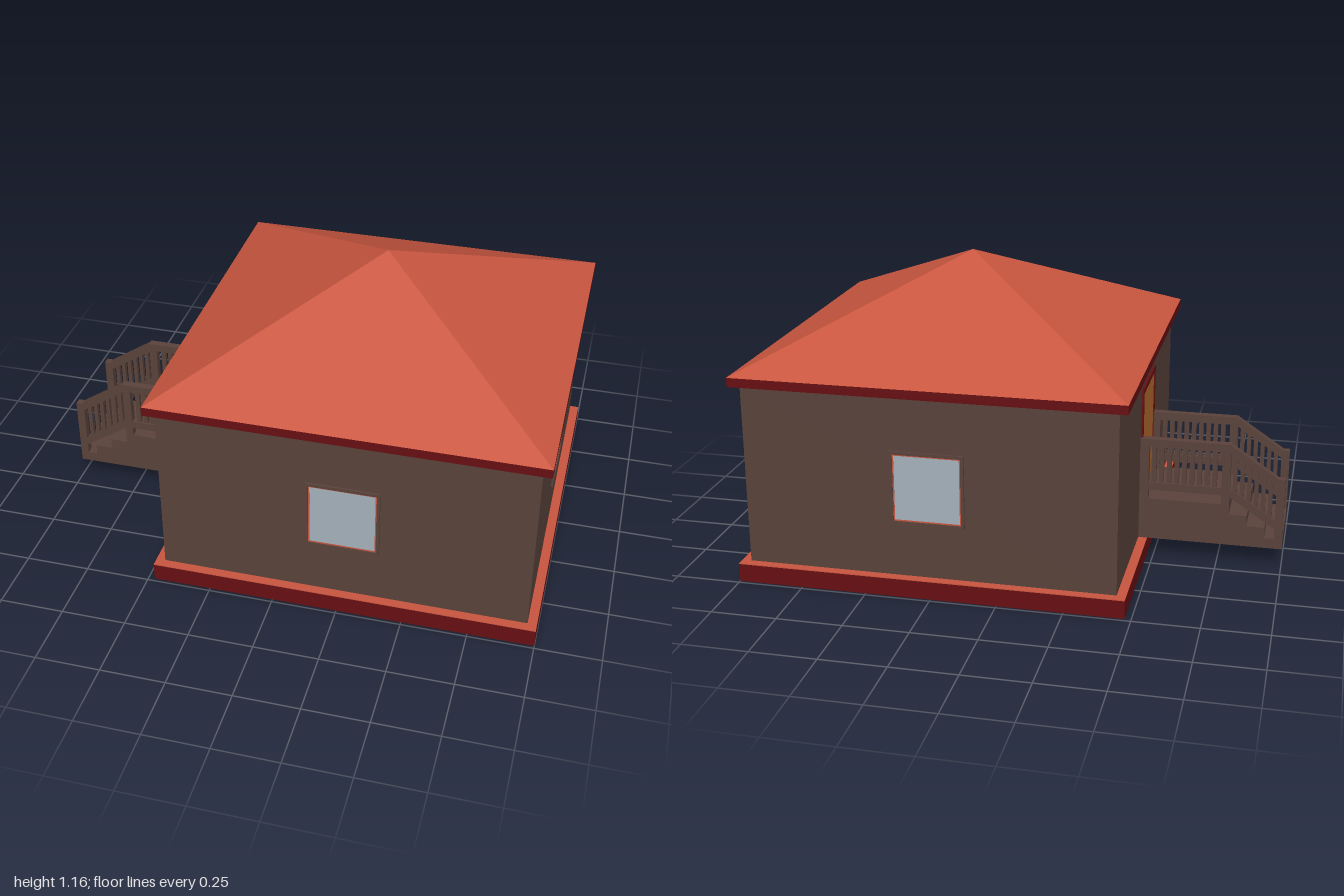
import * as THREE from 'three';

const mat = (name, color, extra = {}) => Object.assign(new THREE.MeshStandardMaterial({ color, ...extra }), { name });

export function createModel() {
  const brown = mat('brown wood', 0x5a433b);
  const roofRed = mat('roof red', 0xc9563f, { side: THREE.DoubleSide, flatShading: true });
  const darkRed = mat('dark red trim', 0x680f12);
  const glass = mat('window glass', 0xa6b3bc);
  const doorMat = mat('door orange', 0xb56c2e);

  const CX = 0.2625, EAVE = 0.7375, WALL = 0.7025, THICK = 0.03;
  const model = new THREE.Group();
  model.name = 'house';

  const add = (parent, name, geometry, material) => {
    const mesh = new THREE.Mesh(geometry, material);
    mesh.name = name;
    parent.add(mesh);
    return mesh;
  };
  // Box given by its minimum and maximum corners
  const box = (parent, name, x0, x1, y0, y1, z0, z1, material) => {
    const mesh = add(parent, name, new THREE.BoxGeometry(x1 - x0, y1 - y0, z1 - z0), material);
    mesh.position.set((x0 + x1) / 2, (y0 + y1) / 2, (z0 + z1) / 2);
    return mesh;
  };
  const rect = (P, w, h) => new P([[-w, -h], [w, -h], [w, h], [-w, h]].map(([x, y]) => new THREE.Vector2(x, y)));
  // Square ring lying flat, open in the middle
  const ring = (parent, name, outer, inner, y0, y1, material) => {
    const shape = rect(THREE.Shape, outer, outer);
    shape.holes.push(rect(THREE.Path, inner, inner));
    const geo = new THREE.ExtrudeGeometry(shape, { depth: y1 - y0, bevelEnabled: false });
    geo.rotateX(-Math.PI / 2);
    add(parent, name, geo, material).position.y = y0;
  };

  // Hollow shell: base, walls, eave and roof
  const shell = new THREE.Group();
  shell.name = 'houseShell';
  shell.position.x = CX;
  model.add(shell);
  ring(shell, 'base', EAVE, WALL - THICK, 0, 0.07, darkRed);
  ring(shell, 'baseLedge', EAVE, WALL, 0.07, 0.073, roofRed);
  ring(shell, 'walls', WALL, WALL - THICK, 0.07, 0.775, brown);
  ring(shell, 'eave', EAVE, WALL - THICK, 0.775, 0.81, darkRed);
  const roofGeo = new THREE.ConeGeometry(EAVE * Math.SQRT2, 0.35, 4, 1, true);
  roofGeo.rotateY(Math.PI / 4);
  add(shell, 'roof', roofGeo, roofRed).position.y = 0.985;

  // Rectangular frame standing in the local xy plane
  const frame = (parent, name, w, h, border, z0, z1, material) => {
    const shape = rect(THREE.Shape, w, h);
    shape.holes.push(rect(THREE.Path, w - border, h - border));
    const geo = new THREE.ExtrudeGeometry(shape, { depth: z1 - z0, bevelEnabled: false });
    add(parent, name, geo, material).position.z = z0;
  };

  // Windows on the front, right and back, visible inside and out
  [0, Math.PI / 2, Math.PI].forEach((angle) => {
    const side = new THREE.Group();
    side.name = 'window';
    side.rotation.y = angle;
    shell.add(side);
    for (const [z, s] of [[WALL, 1], [WALL - THICK, -1]]) {
      const face = new THREE.Group();
      face.name = s > 0 ? 'windowOutside' : 'windowInside';
      face.position.set(0, 0.422, z);
      if (s < 0) face.rotation.y = Math.PI;
      side.add(face);
      frame(face, 'windowFrame', 0.14, 0.142, 0.012, 0, 0.008, brown);
      frame(face, 'windowEdge', 0.128, 0.13, 0.005, 0, 0.004, roofRed);
      box(face, 'windowPane', -0.123, 0.123, -0.125, 0.125, 0, 0.003, glass);
    }
  });

  // Door with its frame, through the wall above the landing
  const wx = CX - WALL;
  const door = new THREE.Group();
  door.name = 'door';
  model.add(door);
  const dx0 = wx - 0.004, dx1 = wx + THICK + 0.004;
  box(door, 'doorPanel', dx0, dx1, 0.073, 0.66, -0.145, 0.145, doorMat);
  for (const s of [-1, 1]) {
    box(door, 'doorJamb', dx0 - 0.004, dx1 + 0.004, 0.073, 0.66, s * 0.155 - 0.01, s * 0.155 + 0.01, darkRed);
  }
  box(door, 'doorLintel', dx0 - 0.004, dx1 + 0.004, 0.66, 0.68, -0.165, 0.165, darkRed);

  // Stepped landing, solid underneath
  const porch = new THREE.Group();
  porch.name = 'porch';
  model.add(porch);
  const profile = [[-1, 0.073], [wx, 0.073], [wx, 0.24], [-0.79, 0.24], [-0.79, 0.2], [-0.86, 0.2],
    [-0.86, 0.157], [-0.93, 0.157], [-0.93, 0.114], [-1, 0.114]];
  const stepGeo = new THREE.ExtrudeGeometry(
    new THREE.Shape(profile.map(([x, y]) => new THREE.Vector2(x, y))), { depth: 0.35, bevelEnabled: false });
  add(porch, 'stairs', stepGeo, brown).position.z = -0.175;

  // Railings on both sides
  const T = 0.03;
  for (const s of [-1, 1]) {
    const rail = new THREE.Group();
    rail.name = s > 0 ? 'frontRailing' : 'backRailing';
    rail.position.z = s * 0.16;
    porch.add(rail);
    const post = (name, x0, x1, y0, y1, d = T) => box(rail, name, x0, x1, y0, y1, -d / 2, d / 2, brown);
    const slope = (name, y0, y1) => {
      const pts = [[-0.99, y0], [-0.785, y1], [-0.785, y1 + 0.035], [-0.99, y0 + 0.035]];
      const geo = new THREE.ExtrudeGeometry(
        new THREE.Shape(pts.map(([x, y]) => new THREE.Vector2(x, y))), { depth: T, bevelEnabled: false });
      add(rail, name, geo, brown).position.z = -T / 2;
    };
    post('endPost', -1, -0.968, 0.09, 0.36);
    post('middlePost', -0.79, -0.758, 0.22, 0.487);
    post('wallPost', -0.475, wx, 0.22, 0.487);
    post('landingTopRail', -0.79, wx, 0.455, 0.487);
    post('landingBottomRail', -0.79, wx, 0.277, 0.308);
    slope('slopedTopRail', 0.315, 0.452);
    slope('slopedBottomRail', 0.14, 0.275);
    for (let i = 0; i < 9; i++) {
      const x = -0.73 + i * 0.0295;
      post('landingBaluster', x - 0.009, x + 0.009, 0.3, 0.46, 0.018);
    }
    for (let i = 0; i < 6; i++) {
      const x = -0.946 + i * 0.0275, y = (x + 0.99) * 0.66;
      post('slopedBaluster', x - 0.008, x + 0.008, 0.16 + y, 0.33 + y, 0.018);
    }
  }
  return model;
}
